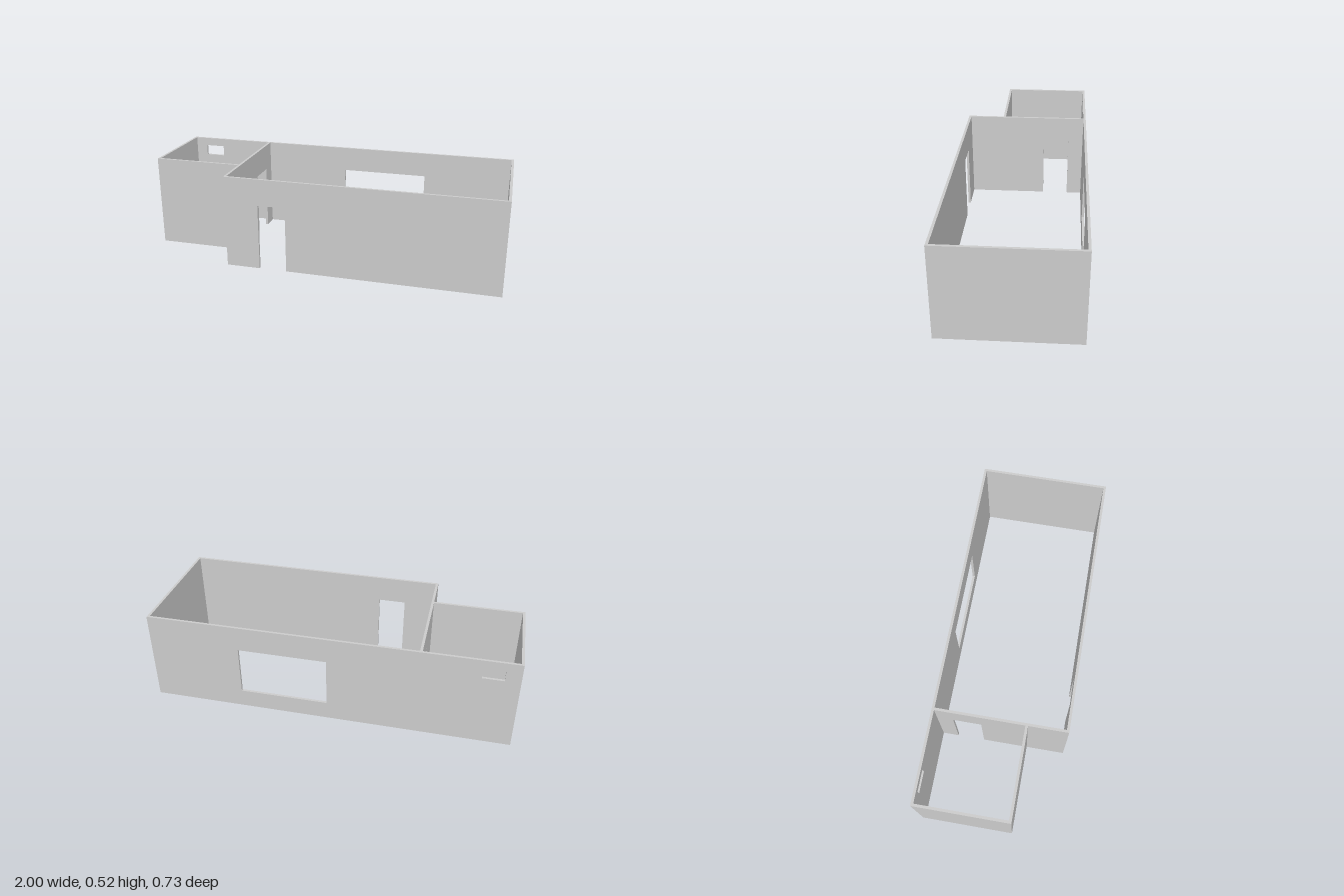
import * as THREE from 'three';

const H = 0.518;   // wall height
const T = 0.014;   // wall thickness
const D = 0.363;   // half depth of the building
const SPLIT = -0.5;     // outer face of the partition
const SMALL_Z = 0.148;  // front face of the small room

const material = new THREE.MeshStandardMaterial({ color: 0xcccccc, flatShading: true });

// Upright wall outline from u0 to u1; doors notch the bottom edge, windows are holes.
function wallGeometry(u0, u1, door, window_) {
  const s = new THREE.Shape();
  s.moveTo(u0, 0);
  if (door) {
    s.lineTo(door.u0, 0);
    s.lineTo(door.u0, door.top);
    s.lineTo(door.u1, door.top);
    s.lineTo(door.u1, 0);
  }
  s.lineTo(u1, 0);
  s.lineTo(u1, H);
  s.lineTo(u0, H);
  s.closePath();
  for (const [a, b, c, d] of window_ || []) {
    const hole = new THREE.Path();
    hole.moveTo(a, c);
    hole.lineTo(a, d);
    hole.lineTo(b, d);
    hole.lineTo(b, c);
    hole.closePath();
    s.holes.push(hole);
  }
  return new THREE.ExtrudeGeometry(s, { depth: T, bevelEnabled: false });
}

export function createModel() {
  const group = new THREE.Group();

  // Wall running along x, its back face at z
  const wallX = (name, x0, x1, z, door, windows) => {
    const mesh = new THREE.Mesh(wallGeometry(x0, x1, door, windows), material);
    mesh.position.z = z;
    mesh.name = name;
    group.add(mesh);
  };
  // Wall running along z, its low-x face at x; the outline is drawn along -z
  const wallZ = (name, z0, z1, x, door) => {
    const flipped = door && { u0: -door.u1, u1: -door.u0, top: door.top };
    const mesh = new THREE.Mesh(wallGeometry(-z1, -z0, flipped), material);
    mesh.rotation.y = Math.PI / 2;
    mesh.position.x = x;
    mesh.name = name;
    group.add(mesh);
  };

  // Long back wall: large window for the main room, small high one for the side room
  wallX('backWall', -1, 1, -D, null, [
    [0, 0.49, 0.102, 0.378],
    [-0.919, -0.805, 0.41, 0.471],
  ]);
  // Main room
  wallX('frontWall', SPLIT, 1, D - T, { u0: -0.31, u1: -0.156, top: 0.37 });
  wallZ('leftWall', -D + T, D - T, 1 - T);
  wallZ('partitionWall', -D + T, D - T, SPLIT, { u0: -0.26, u1: -0.106, top: 0.37 });
  // Side room
  wallX('sideRoomFrontWall', -1, SPLIT, SMALL_Z - T);
  wallZ('rightWall', -D + T, SMALL_Z - T, -1);

  return group;
}
